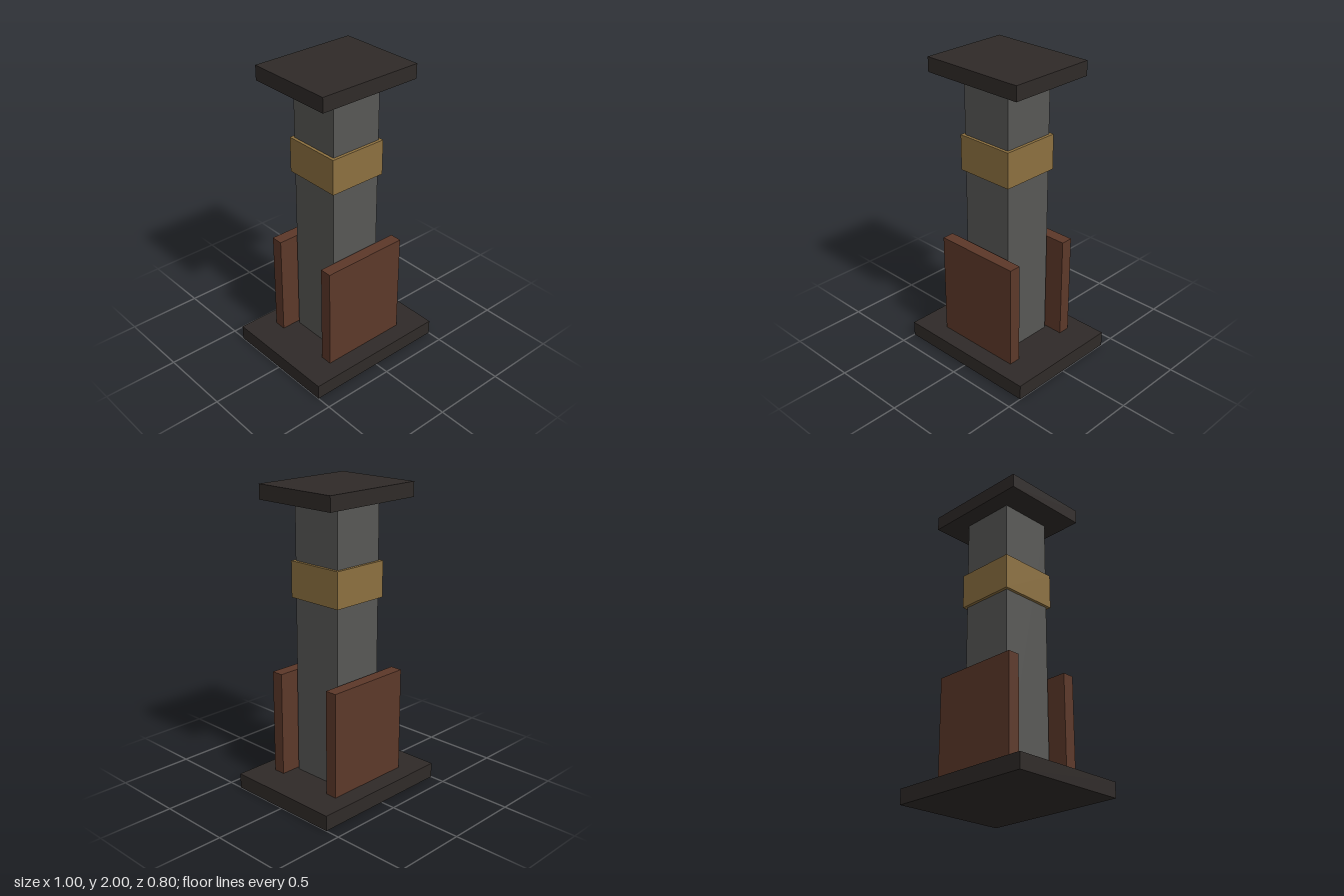
import * as THREE from 'three';

const material = (color) => new THREE.MeshStandardMaterial({ color });

export function createModel() {
  const model = new THREE.Group();
  model.name = 'pillar';

  const dark = material(0x2f2a28);
  const stone = material(0x575755);
  const brass = material(0x8c7040);
  const wood = material(0x5c3829);

  // Box spanning y0..y1, centred on x = 0
  function addBlock(name, width, depth, y0, y1, mat, z = 0) {
    const mesh = new THREE.Mesh(new THREE.BoxGeometry(width, y1 - y0, depth), mat);
    mesh.name = name;
    mesh.position.set(0, (y0 + y1) / 2, z);
    model.add(mesh);
  }

  // Pillar stack
  addBlock('base', 1, 0.8, 0, 0.1, dark);
  addBlock('column', 0.36, 0.36, 0.1, 1.905, stone);
  addBlock('band', 0.4, 0.4, 1.285, 1.52, brass);
  addBlock('cap', 0.72, 0.6, 1.905, 2, dark);

  // Free-standing panels in front of and behind the column
  addBlock('frontPanel', 0.6, 0.08, 0.1, 0.795, wood, 0.24);
  addBlock('backPanel', 0.6, 0.08, 0.1, 0.795, wood, -0.24);

  return model;
}
